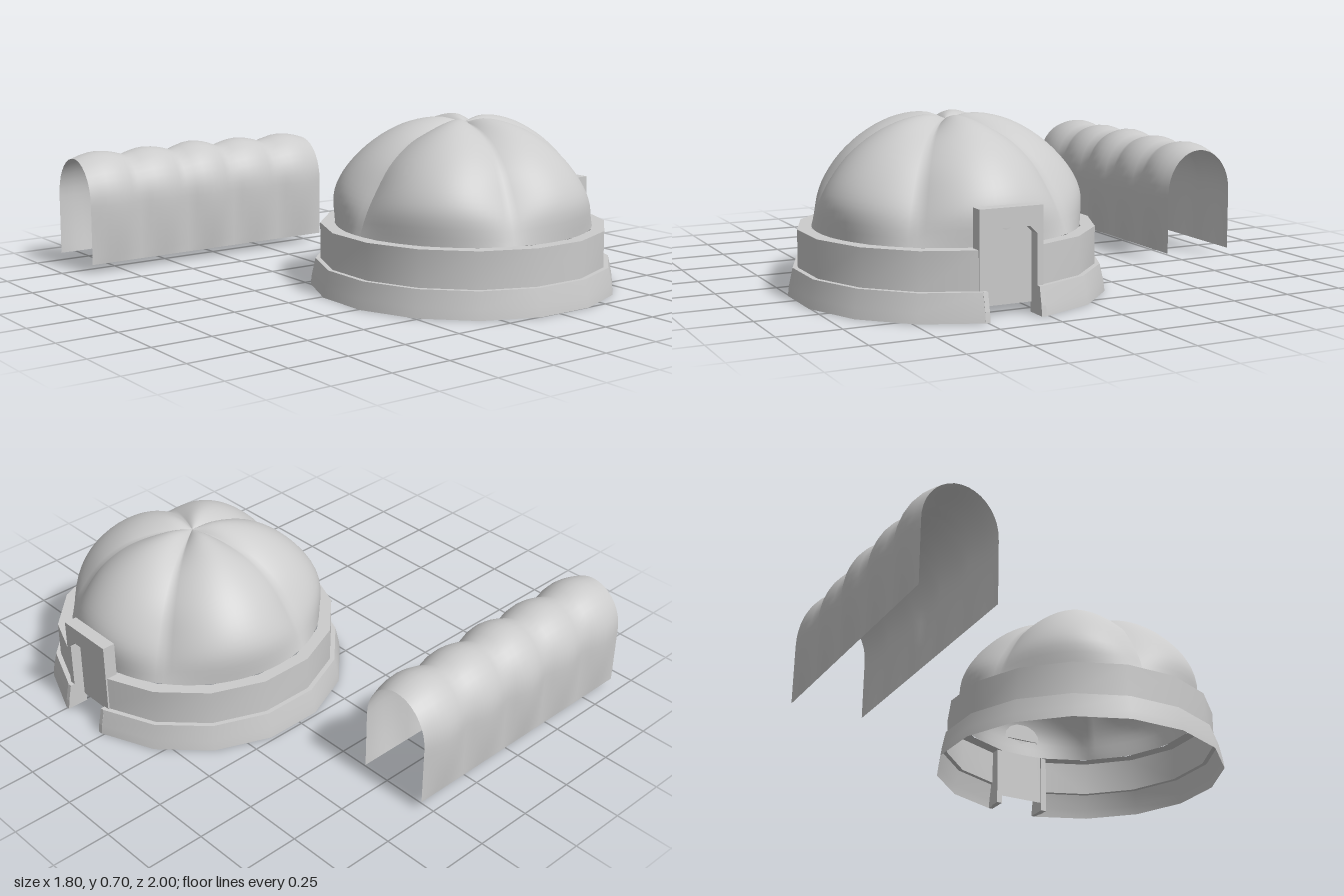
import * as THREE from 'three';

const CX = 0.28, CZ = 0.385; // centre of the round hut
const lerp = THREE.MathUtils.lerp;

const material = new THREE.MeshStandardMaterial({ color: 0xcccccc, side: THREE.DoubleSide });

function part(name, geometry, parent) {
  const mesh = new THREE.Mesh(geometry, material);
  mesh.name = name;
  parent.add(mesh);
  return mesh;
}

// Smooth sheet through a grid of points: point(i, j) returns [x, y, z]
function sheet(rows, cols, point) {
  const pos = [], index = [];
  for (let i = 0; i < rows; i++) {
    for (let j = 0; j < cols; j++) {
      pos.push(...point(i, j));
      if (i < rows - 1 && j < cols - 1) {
        const a = i * cols + j, c = a + cols;
        index.push(a, c, a + 1, a + 1, c, c + 1);
      }
    }
  }
  const g = new THREE.BufferGeometry();
  g.setAttribute('position', new THREE.Float32BufferAttribute(pos, 3));
  g.setIndex(index);
  g.computeVertexNormals();
  return g;
}

// Sixteen-sided ring with one side left open for the doorway
function ring(profile) {
  const step = Math.PI / 8;
  return sheet(profile.length, 16, (i, j) => {
    const r = profile[i][0] / Math.cos(step / 2), a = step * (j + 0.5);
    return [r * Math.cos(a), profile[i][1], r * Math.sin(a)];
  });
}

// Dome of five lobes, blended between a lobe profile and a valley profile
function domeGeometry() {
  const curve = (pts) => new THREE.CatmullRomCurve3(pts.map(([r, y]) => new THREE.Vector3(r, y, 0)));
  const lobe = curve([[0.53, 0.26], [0.535, 0.38], [0.5, 0.465], [0.42, 0.56], [0.32, 0.635], [0.22, 0.68], [0.1, 0.698], [0, 0.675]]);
  const valley = curve([[0.53, 0.26], [0.495, 0.35], [0.45, 0.43], [0.38, 0.53], [0.28, 0.61], [0.18, 0.65], [0.08, 0.67], [0, 0.675]]);
  const rows = 25, cols = 101;
  return sheet(rows, cols, (i, j) => {
    const a = Math.PI + (j / (cols - 1)) * Math.PI * 2;
    const w = Math.abs(Math.cos(2.5 * a));
    const p = valley.getPoint(i / (rows - 1)).lerp(lobe.getPoint(i / (rows - 1)), w);
    return [p.x * Math.cos(a), p.y, p.x * Math.sin(a)];
  });
}

// Arched corridor that swells five times along its length
function tunnelGeometry() {
  const rows = 33, bays = 5, perBay = 6;
  return sheet(rows, bays * perBay + 1, (i, j) => {
    const bay = Math.min(Math.floor(j / perBay), bays - 1);
    const swell = Math.sin(Math.PI * (j / perBay - bay)) * (bay === 2 ? 0.03 : 0.024);
    const x = lerp(-0.9, 0.28, j / (bays * perBay));
    const t = i / (rows - 1);
    const side = t < 0.5 ? -1 : 1;
    const up = 1 - Math.abs(2 * t - 1); // 0 at a foot, 1 at the crown
    if (up < 0.45) {
      const k = up / 0.45;
      return [x, lerp(0.04, 0.3, k), -0.81 + side * (0.153 + swell * Math.sin(k * Math.PI / 2))];
    }
    const a = ((up - 0.45) / 0.55) * Math.PI / 2;
    return [x, 0.3 + (0.18 + swell) * Math.sin(a), -0.81 + side * (0.153 + swell) * Math.cos(a)];
  });
}

function shapeOf(points) {
  return new THREE.Shape(points.map(([x, y]) => new THREE.Vector2(x, y)));
}

export function createModel() {
  const model = new THREE.Group();
  const hut = new THREE.Group();
  hut.name = 'hut';
  hut.position.set(CX, 0, CZ);
  model.add(hut);

  // Stepped round wall
  part('baseRing', ring([[0.62, 0], [0.615, 0.04], [0.6, 0.11]]), hut);
  part('baseLedge', ring([[0.6, 0.11], [0.58, 0.11]]), hut);
  part('upperRing', ring([[0.58, 0.11], [0.58, 0.26]]), hut);
  part('upperLedge', ring([[0.58, 0.26], [0.525, 0.26]]), hut);
  part('dome', domeGeometry(), hut);

  // Door frame with a clipped arch
  const frame = shapeOf([
    [-0.13, 0], [-0.105, 0], [-0.105, 0.305], [-0.075, 0.335], [0.075, 0.335],
    [0.105, 0.305], [0.105, 0], [0.13, 0], [0.13, 0.41], [-0.13, 0.41],
  ]);
  const frameGeo = new THREE.ExtrudeGeometry(frame, { depth: 0.055, bevelEnabled: false });
  frameGeo.rotateY(Math.PI / 2);
  part('doorFrame', frameGeo, hut).position.x = 0.526;

  // Recessed door panel
  const door = shapeOf([[-0.105, 0.04], [0.105, 0.04], [0.105, 0.305], [0.075, 0.335], [-0.075, 0.335], [-0.105, 0.305]]);
  const doorGeo = new THREE.ShapeGeometry(door);
  doorGeo.rotateY(Math.PI / 2);
  part('doorPanel', doorGeo, hut).position.x = 0.535;

  // Feet where the base ring meets the doorway
  const foot = shapeOf([[0.57, 0], [0.62, 0], [0.615, 0.04], [0.6, 0.11], [0.57, 0.11]]);
  for (const z of [-0.124, 0.105]) {
    const g = new THREE.ExtrudeGeometry(foot, { depth: 0.019, bevelEnabled: false });
    part('doorFoot', g, hut).position.z = z;
  }

  part('tunnel', tunnelGeometry(), model);
  return model;
}
